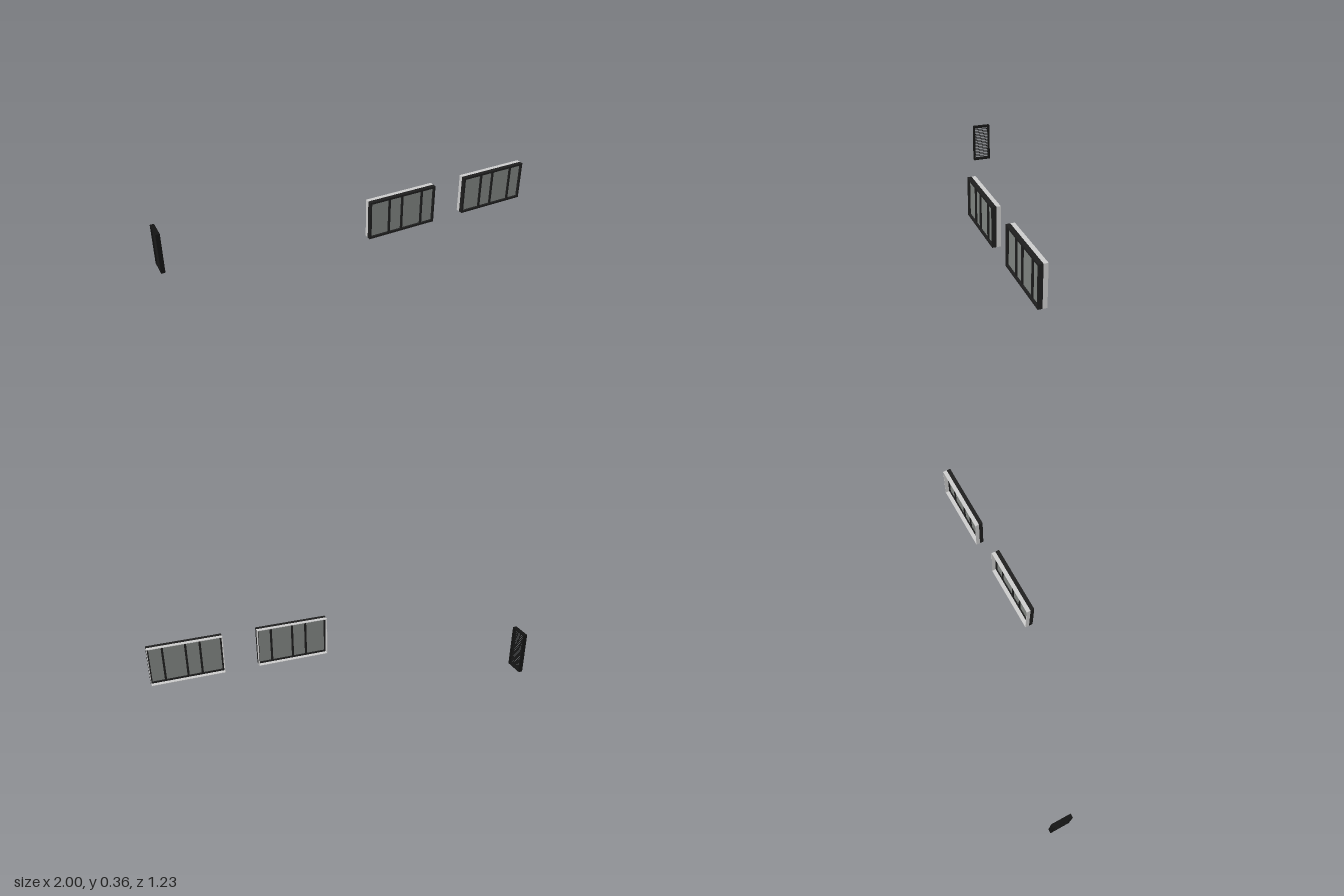
import * as THREE from 'three';

const mat = (color) => new THREE.MeshStandardMaterial({ color });
const trimMat = mat(0xcccccc);
const darkMat = mat(0x1e1e1e);
const glassMat = mat(0x7e827f);
const ventMat = mat(0x141414);

// Rectangular frame, open in the middle, running from z0 forward by depth
function frame(name, w, h, border, z0, depth, material) {
  const shape = new THREE.Shape();
  const x = w / 2, y = h / 2, a = x - border, b = y - border;
  shape.moveTo(-x, -y).lineTo(x, -y).lineTo(x, y).lineTo(-x, y).closePath();
  const hole = new THREE.Path();
  hole.moveTo(-a, -b).lineTo(-a, b).lineTo(a, b).lineTo(a, -b).closePath();
  shape.holes.push(hole);
  const mesh = new THREE.Mesh(new THREE.ExtrudeGeometry(shape, { depth, bevelEnabled: false }), material);
  mesh.position.z = z0;
  mesh.name = name;
  return mesh;
}

function box(name, w, h, d, x, y, z, material) {
  const mesh = new THREE.Mesh(new THREE.BoxGeometry(w, h, d), material);
  mesh.position.set(x, y, z);
  mesh.name = name;
  return mesh;
}

// Window: dark outer frame, light inner lining, glass and three mullions
function createWindow() {
  const g = new THREE.Group();
  const w = 0.4415, h = 0.242;
  g.add(frame('windowFrame', w, h, 0.012, 0, 0.025, darkMat));
  g.add(frame('windowLining', w, h, 0.003, -0.025, 0.025, trimMat));
  g.add(box('glass', w - 0.022, h - 0.022, 0.004, 0, 0, 0.01, glassMat));
  for (const x of [-0.088, -0.003, 0.131]) {
    g.add(box('mullion', 0.012, h - 0.022, 0.02, x, 0, 0.011, darkMat));
  }
  return g;
}

// Vent: frame with tilted slats and open gaps between them
function createVent() {
  const g = new THREE.Group();
  const w = 0.1216, h = 0.263, count = 20, border = 0.01;
  g.add(frame('ventFrame', w, h, border, -0.0125, 0.025, ventMat));
  const pitch = (h - 2 * border) / count;
  for (let i = 0; i < count; i++) {
    const y = -h / 2 + border + (i + 0.5) * pitch;
    const slat = box('ventSlat', w - 2 * border, 0.004, 0.012, 0, y, 0, ventMat);
    slat.rotation.x = -0.4;
    g.add(slat);
  }
  return g;
}

export function createModel() {
  const model = new THREE.Group();
  model.name = 'windowsAndVent';
  const turn = THREE.MathUtils.degToRad(19.4);

  // Two windows in line along one wall
  [['rightWindow', 0.168, 0.302], ['leftWindow', 0.783, 0.517]].forEach(([name, x, z]) => {
    const win = createWindow();
    win.name = name;
    win.position.set(x, 0.24, z);
    win.rotation.y = -turn;
    model.add(win);
  });

  // Vent on the wall at right angles
  const vent = createVent();
  vent.name = 'vent';
  vent.position.set(-0.967, 0.1315, -0.551);
  vent.rotation.y = Math.PI / 2 - turn;
  model.add(vent);

  return model;
}
